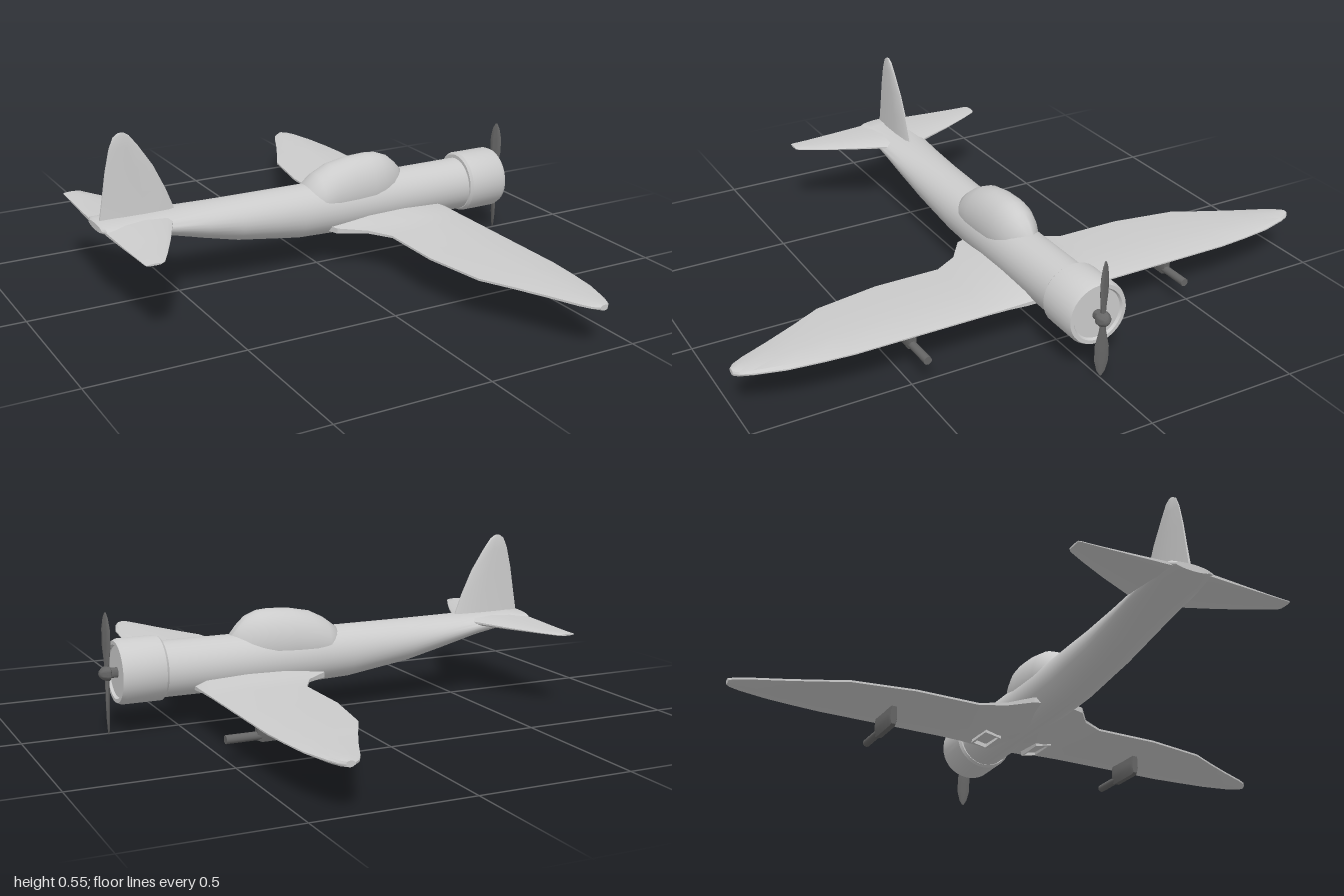
import * as THREE from 'three';
import { toCreasedNormals } from 'three/addons/utils/BufferGeometryUtils.js';

const grey = new THREE.MeshStandardMaterial({ color: 0xcccccc });
const dark = new THREE.MeshStandardMaterial({ color: 0x666666 });

// Skin a list of equal-length rings of [x, y, z] and close both ends.
function loft(rings, crease = 0.6) {
  const n = rings[0].length;
  const tris = [];
  for (let i = 0; i < rings.length - 1; i++) {
    for (let j = 0; j < n; j++) {
      const k = (j + 1) % n;
      const [a, b, c, d] = [rings[i][j], rings[i][k], rings[i + 1][k], rings[i + 1][j]];
      tris.push([a, b, c], [a, c, d]);
    }
  }
  const cap = (ring, flip) => {
    const mid = [0, 1, 2].map(q => ring.reduce((s, p) => s + p[q], 0) / n);
    for (let j = 0; j < n; j++) {
      const k = (j + 1) % n;
      tris.push(flip ? [mid, ring[k], ring[j]] : [mid, ring[j], ring[k]]);
    }
  };
  cap(rings[0], true);
  cap(rings[rings.length - 1], false);
  // Signed volume tells whether the faces point outwards.
  const [a, b, c] = [new THREE.Vector3(), new THREE.Vector3(), new THREE.Vector3()];
  let volume = 0;
  for (const t of tris) volume += a.fromArray(t[0]).dot(b.fromArray(t[1]).cross(c.fromArray(t[2])));
  if (volume < 0) tris.forEach(t => t.reverse());
  const geo = new THREE.BufferGeometry();
  geo.setAttribute('position', new THREE.Float32BufferAttribute(tris.flat(2), 3));
  return toCreasedNormals(geo, crease);
}

// Upright ellipse at x, from bottom to top, with half width w.
function oval(x, bottom, top, w, n = 32) {
  return Array.from({ length: n }, (_, j) => {
    const t = (j / n) * Math.PI * 2;
    return [x, (bottom + top) / 2 + Math.sin(t) * (top - bottom) / 2, Math.cos(t) * w];
  });
}

// Aerofoil: u along the chord from trailing to leading edge, v across it.
const FOIL = [[0, 0.3], [0.3, 0.9], [0.6, 1], [0.92, 0.75], [1, 0.2],
  [1, -0.2], [0.92, -0.75], [0.6, -1], [0.3, -0.9], [0, -0.3]];

// Stations are [span, trailing x, leading x, half thickness, centre].
const surface = (stations, place) => loft(stations.map(([s, x0, x1, h, c]) =>
  FOIL.map(([u, v]) => place(x0 + u * (x1 - x0), c + v * h, s))));

function add(parent, name, geo, material = grey) {
  const mesh = new THREE.Mesh(geo, material);
  mesh.name = name;
  parent.add(mesh);
  return mesh;
}

// Cylinder lying along x.
const rod = (r0, r1, length, sides = 20) =>
  new THREE.CylinderGeometry(r1, r0, length, sides).rotateZ(-Math.PI / 2);

export function createModel() {
  const plane = new THREE.Group();
  plane.name = 'airplane';
  const body = new THREE.Group();
  body.name = 'body';
  body.position.z = -0.008;
  plane.add(body);

  // Fuselage flattening into a wide tail
  add(body, 'fuselage', loft([
    [-0.765, 0.252, 0.274, 0.06], [-0.755, 0.249, 0.279, 0.08], [-0.7, 0.238, 0.281, 0.086],
    [-0.55, 0.206, 0.281, 0.087], [-0.42, 0.17, 0.281, 0.087], [-0.3, 0.14, 0.281, 0.087],
    [-0.18, 0.122, 0.281, 0.088], [-0.08, 0.107, 0.281, 0.088], [0.06, 0.102, 0.281, 0.088],
    [0.57, 0.102, 0.281, 0.088],
  ].map(s => oval(...s))));

  // Canopy blended into the spine
  add(body, 'canopy', loft([
    [-0.05, 0.16, 0.275, 0.06], [0, 0.14, 0.313, 0.078], [0.05, 0.14, 0.338, 0.082],
    [0.12, 0.14, 0.352, 0.082], [0.19, 0.14, 0.356, 0.08], [0.23, 0.145, 0.353, 0.074],
    [0.27, 0.15, 0.338, 0.062], [0.3, 0.16, 0.312, 0.045], [0.335, 0.18, 0.272, 0.02],
  ].map(s => oval(...s)), 1.2));

  // Engine cowling turned around the x axis
  const cowlProfile = [[0, 0], [0.096, 0], [0.103, 0.008], [0.103, 0.132],
    [0.097, 0.146], [0.085, 0.146], [0.08, 0.138], [0, 0.138]].map(p => new THREE.Vector2(...p));
  const cowl = new THREE.LatheGeometry(cowlProfile, 32).rotateZ(-Math.PI / 2);
  add(body, 'cowling', toCreasedNormals(cowl, 0.5)).position.set(0.56, 0.197, 0);

  // Spinner and two-bladed propeller
  const spinProfile = [[0, 0], [0.016, 0], [0.016, 0.024], [0.024, 0.028], [0.024, 0.038],
    [0.019, 0.05], [0.01, 0.059], [0, 0.063]].map(p => new THREE.Vector2(...p));
  const spinner = new THREE.LatheGeometry(spinProfile, 20).rotateZ(-Math.PI / 2);
  add(body, 'spinner', toCreasedNormals(spinner, 0.7), dark).position.set(0.695, 0.195, 0);
  for (const side of [1, -1]) {
    const blade = loft([[0, 0.007, 0.007], [0.04, 0.011, 0.007], [0.09, 0.021, 0.006],
      [0.14, 0.021, 0.005], [0.175, 0.013, 0.003], [0.192, 0.003, 0.002]].map(([y, w, t]) =>
      Array.from({ length: 10 }, (_, j) => {
        const a = j / 10 * Math.PI * 2, p = Math.cos(a) * w, q = Math.sin(a) * t;
        const twist = 0.4;
        return [p * Math.sin(twist) + q * Math.cos(twist), y, p * Math.cos(twist) - q * Math.sin(twist)];
      })));
    const mesh = add(body, 'propellerBlade', blade, dark);
    mesh.position.set(0.73, 0.193, 0);
    if (side < 0) mesh.rotation.x = Math.PI;
  }

  // Tail fin
  add(body, 'tailFin', surface([
    [0.255, -0.755, -0.495, 0.014, 0], [0.28, -0.75, -0.505, 0.013, 0],
    [0.35, -0.738, -0.532, 0.01, 0], [0.43, -0.725, -0.57, 0.008, 0],
    [0.5, -0.709, -0.616, 0.006, 0], [0.535, -0.694, -0.643, 0.005, 0],
    [0.546, -0.678, -0.66, 0.003, 0],
  ], (x, c, s) => [x, s, c]));

  for (const side of [1, -1]) {
    const flat = (x, c, s) => [x, c, s * side];

    // Wing with a flared root
    add(plane, 'wing', surface([
      [0, 0, 0.47, 0.034, 0.137], [0.09, 0.03, 0.47, 0.03, 0.137], [0.15, 0.11, 0.47, 0.017, 0.139],
      [0.23, 0.155, 0.47, 0.012, 0.14], [0.45, 0.155, 0.47, 0.011, 0.14],
      [0.66, 0.19, 0.47, 0.011, 0.14], [0.76, 0.242, 0.462, 0.011, 0.14],
      [0.86, 0.29, 0.45, 0.011, 0.14], [0.95, 0.33, 0.425, 0.011, 0.14],
      [0.985, 0.35, 0.41, 0.01, 0.14], [1, 0.368, 0.395, 0.009, 0.14],
    ], flat));

    // Tailplane
    add(body, 'tailplane', surface([
      [0, -0.76, -0.5, 0.015, 0.262], [0.09, -0.757, -0.548, 0.014, 0.26],
      [0.2, -0.752, -0.6, 0.009, 0.258], [0.3, -0.747, -0.652, 0.005, 0.257],
      [0.355, -0.745, -0.683, 0.004, 0.257], [0.364, -0.743, -0.695, 0.003, 0.257],
    ], flat));

    // Gun pod and barrel under the wing
    const gun = new THREE.Group();
    gun.name = 'wingGun';
    gun.position.set(0, 0, side * 0.464);
    body.add(gun);
    add(gun, 'gunPod', loft([[0.285, 0.068, 0.011], [0.295, 0.062, 0.015],
      [0.41, 0.062, 0.015], [0.425, 0.068, 0.011]].map(([x, y, w]) =>
      [[x, 0.135, 0.009], [x, 0.105, w], [x, 0.085, w], [x, y, w * 0.6],
        [x, y, -w * 0.6], [x, 0.085, -w], [x, 0.105, -w], [x, 0.135, -0.009]])), dark);
    add(gun, 'gunBarrel', rod(0.013, 0.013, 0.12), dark).position.set(0.46, 0.08, 0);

    // Shallow open frame under the wing root
    const frame = new THREE.Group();
    frame.name = 'rootIntake';
    frame.position.set(0.35, 0.115, side * 0.095);
    frame.rotation.x = -side * 0.2;
    body.add(frame);
    for (const e of [1, -1]) {
      add(frame, 'intakeSide', new THREE.BoxGeometry(0.11, 0.026, 0.007)).position.z = e * 0.026;
      add(frame, 'intakeEnd', new THREE.BoxGeometry(0.007, 0.026, 0.052)).position.x = e * 0.052;
    }
  }
  return plane;
}
